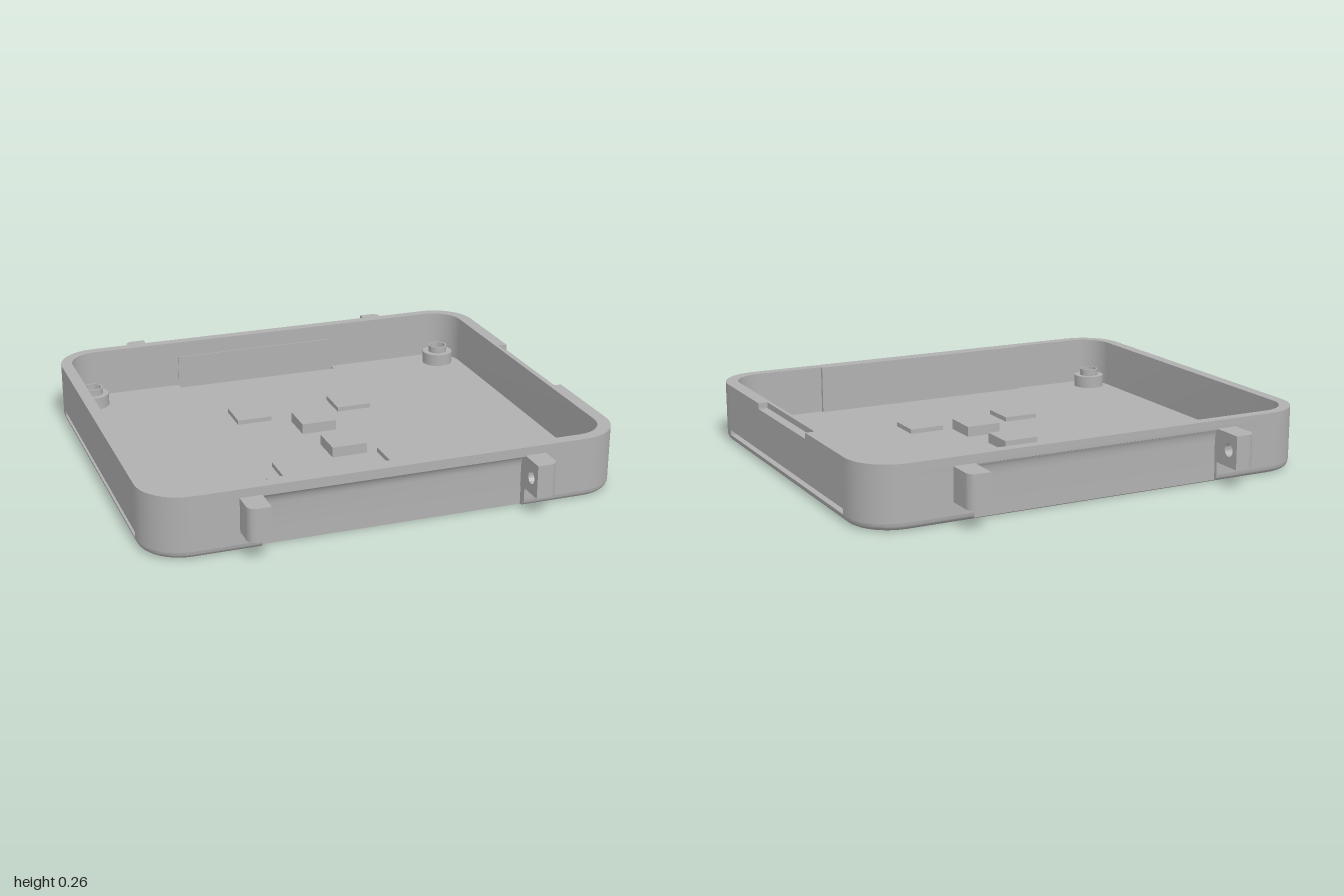
import * as THREE from 'three';
import { toCreasedNormals } from 'three/addons/utils/BufferGeometryUtils.js';

const H = 0.26, FLOOR = 0.05, FILLET = 0.03;
const plastic = new THREE.MeshStandardMaterial({ color: 0xb0b0b0 });
plastic.name = 'grey plastic';

// Quarter-circle corner points around (cx, cz), in plan (z towards the front)
function corner(cx, cz, r, start) {
  return Array.from({ length: 11 }, (_, i) => {
    const a = start + (i / 10) * Math.PI / 2;
    return [cx + r * Math.cos(a), cz - r * Math.sin(a)];
  });
}

// Outer plan outline; recesses in the four sides are depths that vary with height
function outerRing({ inset = 0, front = 0, back = 0, slot = 0, notch = 0 }) {
  const r = 0.18, X = 1 - inset, F = 0.865 - inset, B = -0.845 + inset;
  const f = 0.865 - Math.max(inset, front), b = -0.845 + Math.max(inset, back);
  const s = X - slot, n = s - notch, q = Math.PI / 2;
  return [
    [-0.55, F], [-0.55, f], [0.55, f], [0.55, F],
    ...corner(1 - r, 0.865 - r, r - inset, -q),
    [X, 0.67], [s, 0.67], [s, 0.285], [n, 0.285], [n, -0.26], [s, -0.26], [s, -0.64], [X, -0.64],
    ...corner(1 - r, -0.845 + r, r - inset, 0),
    [0.55, B], [0.55, b], [-0.55, b], [-0.55, B],
    ...corner(-1 + r, -0.845 + r, r - inset, q),
    [-X, -0.64], [-s, -0.64], [-s, 0.67], [-X, 0.67],
    ...corner(-1 + r, 0.865 - r, r - inset, 2 * q),
  ];
}

// Inner plan outline, with the front wall thickened behind its recess
function innerRing() {
  const r = 0.13, q = Math.PI / 2, L = -0.95, R = 0.945, F = 0.815, B = -0.8;
  return [
    [-0.51, F], [-0.51, 0.8], [0.51, 0.8], [0.51, F],
    ...corner(R - r, F - r, r, -q), ...corner(R - r, B + r, r, 0),
    ...corner(L + r, B + r, r, q), ...corner(L + r, F - r, r, 2 * q),
  ];
}

const rect = (x0, x1, z0, z1) => [[x0, z1], [x1, z1], [x1, z0], [x0, z0]];
const square = (x, z, w, d = w) => rect(x - w / 2, x + w / 2, z - d / 2, z + d / 2);
const circle = (x, z, r) => Array.from({ length: 32 }, (_, i) => {
  const a = (i / 32) * Math.PI * 2;
  return [x + r * Math.cos(a), z - r * Math.sin(a)];
});

// Skin through closed rings at rising heights
function loft(levels) {
  const pos = [], A = new THREE.Vector3(), C = new THREE.Vector3();
  const tri = (p, q, r) => {
    A.subVectors(q, p); C.subVectors(r, p);
    if (A.cross(C).length() > 1e-9) [p, q, r].forEach(v => pos.push(v.x, v.y, v.z));
  };
  for (let i = 0; i + 1 < levels.length; i++) {
    const lo = levels[i], hi = levels[i + 1], n = lo.ring.length;
    const at = (l, j) => new THREE.Vector3(l.ring[j % n][0], l.y, l.ring[j % n][1]);
    for (let j = 0; j < n; j++) {
      tri(at(lo, j), at(lo, j + 1), at(hi, j + 1));
      tri(at(lo, j), at(hi, j + 1), at(hi, j));
    }
  }
  const g = new THREE.BufferGeometry();
  g.setAttribute('position', new THREE.Float32BufferAttribute(pos, 3));
  return toCreasedNormals(g, 0.6);
}

// Flat sheet with holes, facing up or down
function sheet(ring, holes, y, down = false) {
  const v = pts => pts.map(([x, z]) => new THREE.Vector2(x, down ? z : -z));
  const shape = new THREE.Shape(v(ring));
  shape.holes = holes.map(h => new THREE.Path(v(h)));
  return new THREE.ShapeGeometry(shape).rotateX(down ? Math.PI / 2 : -Math.PI / 2).translate(0, y, 0);
}

export function createModel() {
  const model = new THREE.Group();
  model.name = 'enclosureTray';
  const add = (name, geometry, parent = model) => {
    const m = new THREE.Mesh(geometry, plastic);
    m.name = name;
    parent.add(m);
    return m;
  };

  // Outer wall: bottom fillet, side slots, recesses and rim notch
  const FRONT = 0.035, BACK = 0.015, levels = [];
  const level = (y, o = {}) => levels.push({ y, ring: outerRing({ front: FRONT, back: BACK, ...o }) });
  for (let i = 0; i <= 5; i++) {
    const a = (i / 5) * Math.PI / 2;
    level(FILLET * (1 - Math.cos(a)), { inset: FILLET * (1 - Math.sin(a)) });
  }
  level(0.032); level(0.032, { slot: 0.03 }); level(0.054, { slot: 0.03 }); level(0.054);
  for (let i = 0; i <= 6; i++) {
    const a = (i / 6) * Math.PI / 2;
    level(0.165 + 0.055 * Math.sin(a), { front: FRONT * Math.cos(a), back: BACK * Math.cos(a) });
  }
  const plain = { front: 0, back: 0 }, cut = { ...plain, notch: 0.04 };
  level(0.235, plain); level(0.235, cut); level(H, cut);
  add('outerWall', loft(levels));

  // Rim and inner wall
  const inner = innerRing();
  add('rim', sheet(outerRing(cut), [inner], H));
  const inside = [...inner].reverse();
  add('innerWall', loft([{ y: FLOOR, ring: inside }, { y: H, ring: inside }]));

  // Openings in the floor
  const slot = rect(-0.43, 0.33, -0.795, -0.762);
  const bosses = [];
  for (const x of [-0.86, 0.84]) for (const z of [-0.69, 0.71]) bosses.push([x, z]);
  const pads = [
    [-0.235, -0.31, 0.07], [0.235, -0.31, 0.07], [-0.235, 0.33, 0.07], [0.235, 0.33, 0.07],
    [0, -0.115, 0.095], [0.035, 0.17, 0.095],
  ];
  // Underside pockets: plan outline and ceiling height
  const pockets = pads.map(([x, z, top]) => [square(x, z, 0.12), top - 0.025]);
  pockets.push([square(0, -0.54, 0.1, 0.06), 0.03], [square(0.37, 0.06, 0.06, 0.1), 0.03]);
  for (const x of [-0.45, 0.45]) for (const z of [-0.32, 0.32]) pockets.push([square(x, z, 0.03, 0.08), 0.03]);

  add('floorTop', sheet(inner, [slot, ...bosses.map(([x, z]) => circle(x, z, 0.065))], FLOOR));
  add('underside', sheet(levels[0].ring,
    [slot, ...bosses.map(([x, z]) => circle(x, z, 0.055)), ...pockets.map(p => p[0])], 0, true));

  const holeWall = (ring, top) => {
    const r = [...ring].reverse();
    return loft([{ y: 0, ring: r }, { y: top, ring: r }]);
  };
  add('cableSlot', holeWall(slot, FLOOR));
  for (const [ring, top] of pockets) {
    add('pocketWall', holeWall(ring, top));
    add('pocketCeiling', sheet(ring, [], top, true));
  }

  // Raised pads on the floor, open below
  for (const [x, z, top] of pads) {
    const ring = square(x, z, 0.155);
    add('padSides', loft([{ y: FLOOR, ring }, { y: top, ring }]));
    add('padTop', sheet(ring, [], top));
  }

  // Screw bosses with collar, through hole and counterbore
  const profile = [[0.07, FLOOR], [0.07, 0.105], [0.043, 0.105], [0.043, 0.135], [0.036, 0.135],
    [0.036, FLOOR], [0.055, FLOOR], [0.055, 0]].map(p => new THREE.Vector2(...p));
  const bossGeometry = toCreasedNormals(new THREE.LatheGeometry(profile, 32), 0.6);
  for (const [x, z] of bosses) add('screwBoss', bossGeometry).position.set(x, 0, z);

  // Shallow panel inside the back wall
  add('backPanel', new THREE.BoxGeometry(0.76, 0.14, 0.006).translate(-0.05, 0.12, -0.798));

  // Hinge lugs: drilled inner half and rounded outer half
  const lug = (sx, sz, root, tip) => {
    const g = new THREE.Group();
    g.name = 'hingeLug';
    model.add(g);
    const y0 = 0.085, y1 = 0.225, len = tip - root, mid = 0.592, r = 0.035;
    const face = new THREE.Shape([[0, y0], [len, y0], [len, y1], [0, y1]].map(p => new THREE.Vector2(...p)));
    face.holes.push(new THREE.Path().absarc(len - 0.055, 0.155, 0.027, 0, Math.PI * 2, true));
    const half = new THREE.ExtrudeGeometry(face, { depth: mid - 0.548, bevelEnabled: false, curveSegments: 20 });
    half.rotateY(-Math.PI / 2).translate(sx > 0 ? mid : -0.548, 0, sz > 0 ? root : -tip);
    // the hole sits nearer the tip on both sides
    if (sz < 0) half.rotateY(Math.PI).translate(sx * (mid + 0.548), 0, -root - tip);
    add('lugEye', toCreasedNormals(half, 0.6), g);

    const plan = new THREE.Shape();
    plan.moveTo(0, 0);
    plan.lineTo(0.638 - mid, 0);
    plan.lineTo(0.638 - mid, len - r);
    plan.absarc(0.638 - mid - r, len - r, r, 0, Math.PI / 2, false);
    plan.lineTo(0, len);
    const cap = new THREE.ExtrudeGeometry(plan, { depth: y1 - y0, bevelEnabled: false, curveSegments: 8 });
    cap.rotateX(-Math.PI / 2); // plan now runs towards the back
    const turned = sx * sz > 0; // mirrored corners need reversed faces
    cap.scale(sx, 1, -sz).translate(sx * mid, y0, sz * root);
    if (turned) {
      const p = cap.attributes.position;
      for (let i = 0; i < p.count; i += 3) {
        const a = new THREE.Vector3().fromBufferAttribute(p, i), c = new THREE.Vector3().fromBufferAttribute(p, i + 2);
        p.setXYZ(i, c.x, c.y, c.z);
        p.setXYZ(i + 2, a.x, a.y, a.z);
      }
    }
    add('lugCap', toCreasedNormals(cap, 0.6), g);
  };
  for (const sx of [-1, 1]) {
    lug(sx, 1, 0.825, 0.978);
    lug(sx, -1, 0.825, 0.982);
  }
  return model;
}
